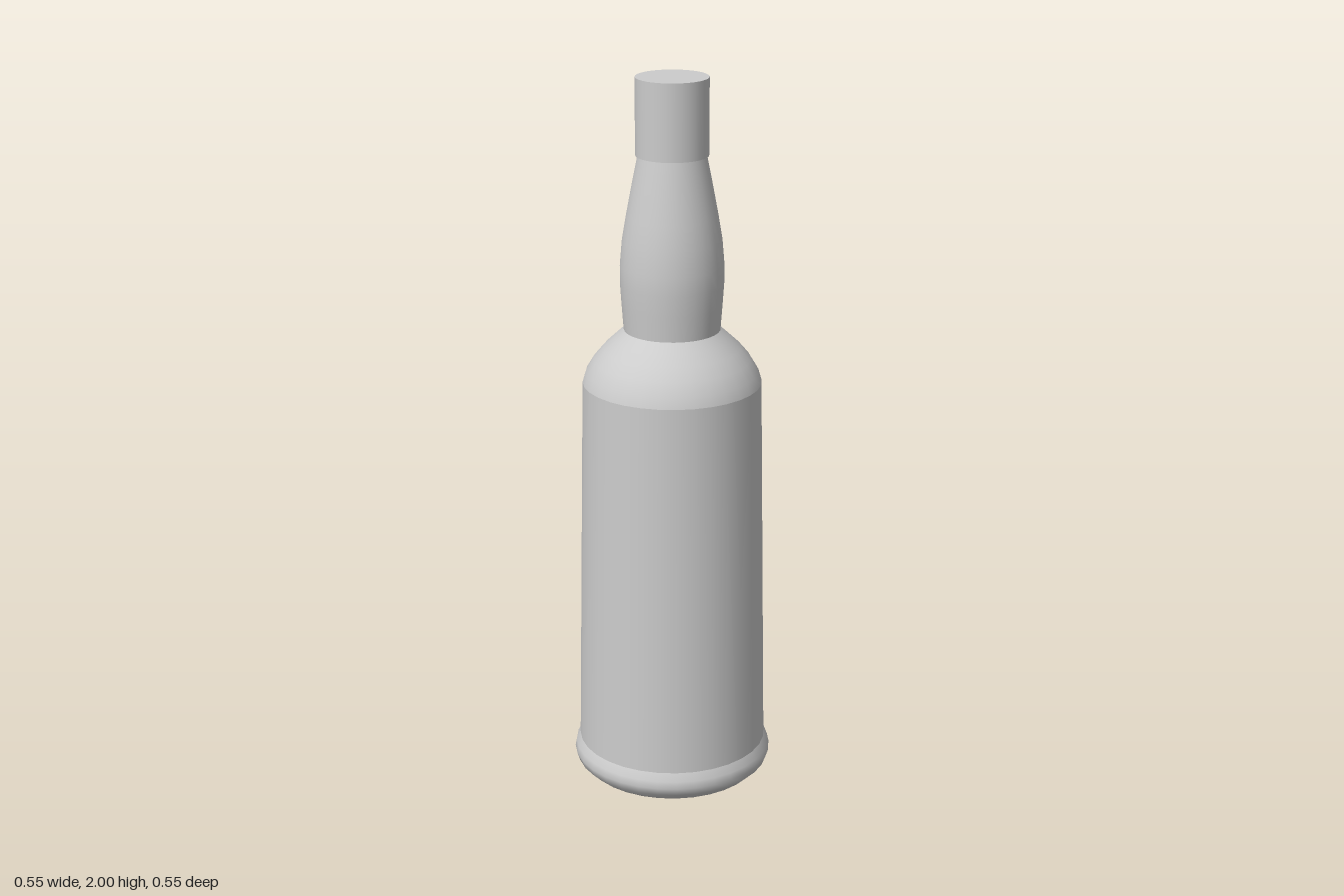
import * as THREE from 'three';

const SIDES = 32;
const material = new THREE.MeshStandardMaterial({ color: 0xcccccc });

// Revolve a bottom-to-top list of [radius, height] pairs.
function revolve(name, profile) {
  const points = profile.map(([r, y]) => new THREE.Vector2(r, y));
  const mesh = new THREE.Mesh(new THREE.LatheGeometry(points, SIDES), material);
  mesh.name = name;
  return mesh;
}

export function createModel() {
  const bottle = new THREE.Group();
  bottle.name = 'bottle';

  // Rounded foot with a flat underside and a bulging rim
  bottle.add(revolve('foot', [
    [0, 0], [0.14, 0.002], [0.2, 0.014], [0.245, 0.034], [0.27, 0.058],
    [0.277, 0.08], [0.273, 0.1], [0.262, 0.122],
  ]));

  // Gently tapering body
  bottle.add(revolve('body', [[0.262, 0.122], [0.242, 1.175]]));

  // Domed shoulder
  bottle.add(revolve('shoulder', [
    [0.242, 1.175], [0.233, 1.205], [0.212, 1.24], [0.185, 1.272],
    [0.155, 1.3], [0.13, 1.323],
  ]));

  // Swelling neck
  bottle.add(revolve('neck', [
    [0.13, 1.323], [0.135, 1.39], [0.139, 1.45], [0.139, 1.5],
    [0.133, 1.57], [0.122, 1.635], [0.106, 1.72], [0.09, 1.8],
  ]));

  // Cylindrical cap
  const cap = new THREE.Mesh(new THREE.CylinderGeometry(0.097, 0.097, 0.205, SIDES), material);
  cap.name = 'cap';
  cap.position.y = 1.8975;
  bottle.add(cap);

  return bottle;
}
